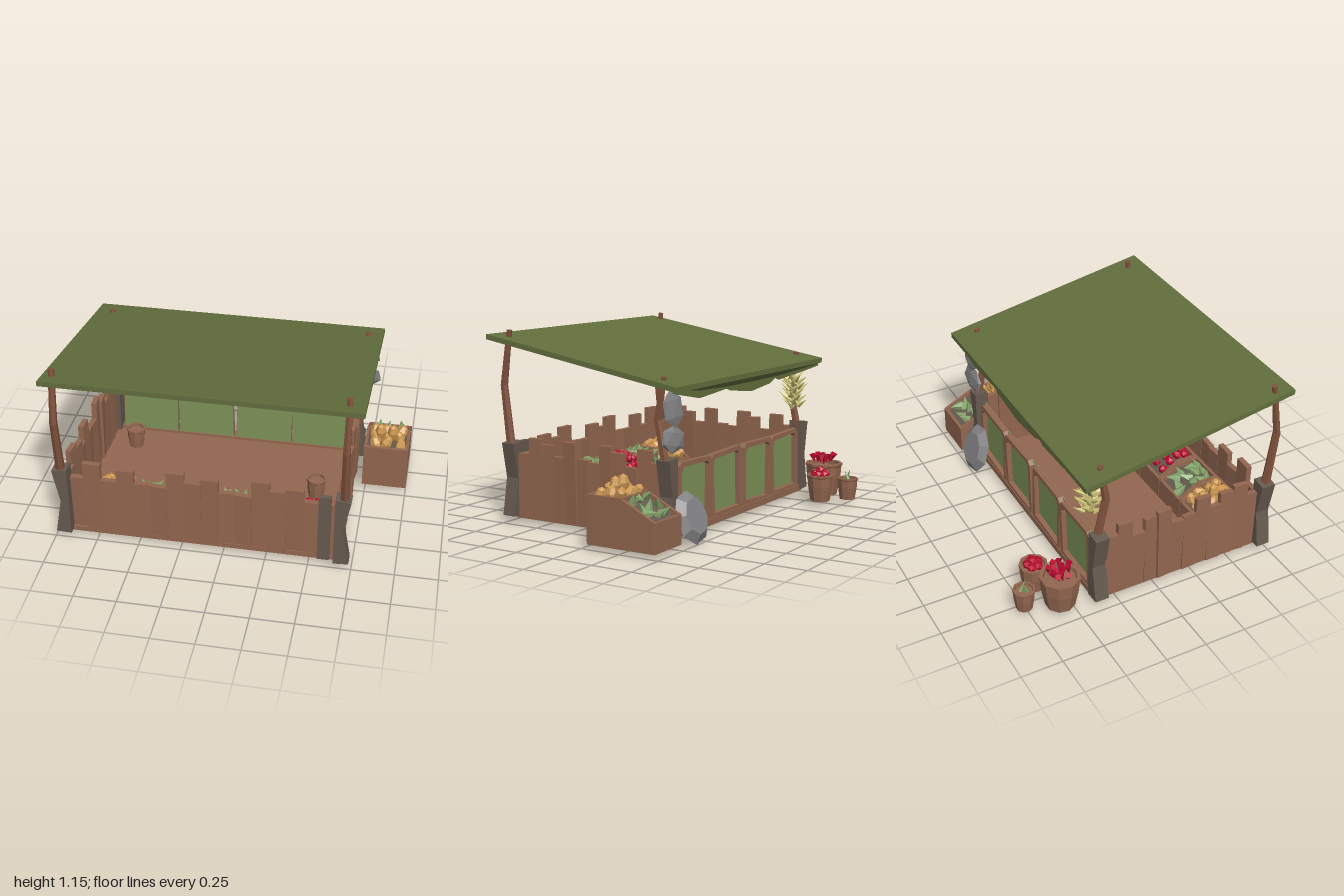
import * as THREE from 'three';

const mat = (name, color) => {
  const m = new THREE.MeshStandardMaterial({ color, flatShading: true, side: THREE.DoubleSide });
  m.name = name;
  return m;
};

export function createModel() {
  const wood = mat('wood', 0x92664f), pole = mat('poleWood', 0x7f513c), bark = mat('greyWood', 0x665a4f);
  const roofGreen = mat('roofCloth', 0x626e3d), cloth = mat('panelCloth', 0x7d9259), stone = mat('stone', 0x828284);
  const red = mat('red', 0xb80a2e), orange = mat('orange', 0xcc9750), leaf = mat('leaf', 0x83a269), straw = mat('straw', 0xd2ca7c);

  const root = new THREE.Group();
  root.name = 'marketStall';
  let seed = 7;
  const rnd = (a = 0, b = 1) => {
    seed = (seed * 16807) % 2147483647;
    return a + (b - a) * seed / 2147483647;
  };
  const add = (parent, name, geo, material, x = 0, y = 0, z = 0) => {
    const m = new THREE.Mesh(geo, material);
    m.name = name;
    m.position.set(x, y, z);
    parent.add(m);
    return m;
  };
  const group = (name, x = 0, y = 0, z = 0) => {
    const g = new THREE.Group();
    g.name = name;
    g.position.set(x, y, z);
    root.add(g);
    return g;
  };
  const box = (w, h, d) => new THREE.BoxGeometry(w, h, d);
  const vec = pts => pts.map(p => new THREE.Vector2(...p));
  const extrude = (shape, depth) => new THREE.ExtrudeGeometry(shape, { depth, bevelEnabled: false });

  // Floor
  add(root, 'floor', box(1.6, 0.03, 1.07), wood, -0.13, 0.04, 0.175);

  // Plank walls, each height giving one slightly twisted plank
  function wall(name, heights, length, x, z, turn) {
    const g = group(name, x, 0, z), w = length / heights.length;
    g.rotation.y = turn;
    heights.forEach((h, i) => {
      const p = add(g, 'plank', box(w + 0.006, h - 0.04, 0.032), wood, -length / 2 + w * (i + 0.5), (h + 0.04) / 2, rnd(-0.006, 0.006));
      p.rotation.set(rnd(-0.025, 0.025), rnd(-0.1, 0.1), rnd(-0.015, 0.015));
    });
  }
  wall('frontWall', [.41, .515, .41, .49, .41, .41, .515, .46, .49, .41, .41, .515, .46, .49, .41, .41], 1.57, -0.13, 0.69, 0);
  const side = [.42, .515, .485, .42, .515, .42, .41, .515, .485, .41, .515, .45];
  wall('leftWall', side, 1.0, 0.665, 0.18, Math.PI / 2);
  wall('rightWall', side, 1.0, -0.925, 0.18, Math.PI / 2);

  // Notched corner boards
  const post = new THREE.Shape(vec([[-0.045, 0.04], [0.045, 0.045], [0.005, 0.27], [0.045, 0.48], [-0.045, 0.49]]));
  for (const [x, z, s] of [[-0.945, 0.675, -1], [0.69, 0.675, 1], [-0.925, -0.4, -1], [0.685, -0.4, 1]]) {
    const p = add(root, 'cornerPost', extrude(post, 0.085), bark, x, 0, z);
    if (s < 0) {
      p.rotation.y = Math.PI;
      p.position.z += 0.085;
    }
  }
  add(root, 'frontBoard', box(0.07, 0.44, 0.03), bark, 0.585, 0.26, 0.72);

  // Bent poles made of tapered lengths
  function rod(parent, name, pts, radii, material) {
    for (let i = 0; i < pts.length - 1; i++) {
      const a = new THREE.Vector3(...pts[i]), b = new THREE.Vector3(...pts[i + 1]);
      const m = add(parent, name, new THREE.CylinderGeometry(radii[i + 1], radii[i], a.distanceTo(b) + 0.01, 6), material);
      m.position.lerpVectors(a, b, 0.5);
      m.quaternion.setFromUnitVectors(new THREE.Vector3(0, 1, 0), b.sub(a).normalize());
    }
  }
  for (const x of [-0.945, 0.695]) rod(root, 'frontPole', [[x, 0.44, 0.72], [x, 0.82, 0.765], [x, 1.14, 0.72]], [0.028, 0.023, 0.018], pole);
  for (const x of [-0.9, 0.695]) rod(root, 'backPole', [[x, 0.44, -0.36], [x, 0.7, -0.305], [x, 0.93, -0.345]], [0.026, 0.024, 0.018], pole);

  // Sloping roof sheet
  const roofY = z => 0.98 + 0.173 * z;
  const sheet = box(1.785, 0.03, 1.3);
  const sp = sheet.attributes.position;
  for (let i = 0; i < sp.count; i++) {
    const z = sp.getZ(i) + 0.17;
    sp.setXYZ(i, sp.getX(i) - 0.1075, roofY(z) - 0.015 + sp.getY(i), z);
  }
  add(root, 'roofSheet', sheet, roofGreen);

  // Sagging cloth below the roof
  const zs = [0.82, 0.4, -0.04, -0.45, -0.48], sags = [0, 0.085, 0.105, 0.045, 0];
  const lining = new THREE.PlaneGeometry(1.78, 1, 6, 4);
  const lp = lining.attributes.position;
  for (let i = 0; i < lp.count; i++) {
    const k = Math.floor(i / 7), u = lp.getX(i) / 0.89;
    lp.setXYZ(i, lp.getX(i) - 0.11, roofY(zs[k]) - 0.029 - sags[k] * (1 - Math.abs(u) ** 3), zs[k]);
  }
  lining.index.array.reverse();
  add(root, 'roofLining', lining, roofGreen);
  const valance = new THREE.Shape(vec([[-1, 0.88], [-1, 0.845], [-0.72, 0.825], [-0.44, 0.81], [-0.4, 0.825], [-0.33, 0.8], [-0.1, 0.778], [0.16, 0.81], [0.2, 0.825], [0.5, 0.805], [0.6, 0.825], [0.78, 0.86], [0.78, 0.88]]));
  add(root, 'backValance', new THREE.ShapeGeometry(valance), roofGreen, 0, 0, -0.455);

  // Framed cloth panels along the back
  for (let i = 0; i < 4; i++) {
    const g = group('backPanel', 0.43 - i * 0.372, 0.05, -0.385);
    g.rotation.z = [0.035, -0.03, 0.02, -0.03][i];
    const frame = new THREE.Shape(vec([[-0.18, 0], [0.18, 0], [0.175, 0.37], [0.155, 0.395], [-0.155, 0.395], [-0.178, 0.37]]));
    frame.holes.push(new THREE.Path(vec([[-0.15, 0.035], [-0.15, 0.35], [-0.125, 0.37], [0.135, 0.365], [0.155, 0.335], [0.145, 0.045]])));
    add(g, 'panelFrame', extrude(frame, 0.035), wood);
    add(g, 'panelCloth', box(0.355, 0.385, 0.008), cloth, 0, 0.2, 0.034);
  }
  add(root, 'backSill', box(1.55, 0.04, 0.05), wood, -0.13, 0.05, -0.365);

  // Produce shapes
  const fruit = new THREE.SphereGeometry(0.04, 6, 4).scale(0.85, 1.3, 0.85);
  const sprout = new THREE.ConeGeometry(0.034, 0.085, 5);
  const bud = new THREE.IcosahedronGeometry(0.03, 0);

  // Sloped crate, low side toward -z, with one or two produce bays
  function crate(name, x, z, w, d, h, low, bays) {
    const g = group(name, x, 0, z);
    const topAt = s => s < d / 2 ? h : h + (low - h) * (s - d / 2) / (d / 2);
    const slab = (s0, s1, y0, drop, t) => extrude(new THREE.Shape(vec([
      [s0, y0], [s1, y0], [s1, topAt(s1) - drop], [d / 2, h - drop], [s0, h - drop]])), t).rotateY(Math.PI / 2);
    for (const sx of [-w / 2, w / 2 - 0.018]) add(g, 'crateSide', slab(0.005, d - 0.005, 0.04, 0, 0.018), wood, sx);
    add(g, 'crateBed', slab(0.015, d - 0.015, 0.05, 0.03, w - 0.036), bark, -w / 2 + 0.018);
    add(g, 'crateBottom', box(w, 0.03, d), wood, 0, 0.045, -d / 2);
    add(g, 'crateBack', box(w, h - 0.03, 0.02), wood, 0, (h + 0.03) / 2, -0.01);
    add(g, 'crateFront', box(w, low - 0.03, 0.02), wood, 0, (low + 0.03) / 2, -d + 0.01);
    if (bays.length > 1) add(g, 'crateDivider', box(w, 0.05, 0.02), wood, 0, h - 0.025, -d / 2);
    const rows = d > 0.3 ? 3 : 4, bay = (d - 0.05) / bays.length;
    bays.forEach(([geo, material], b) => {
      for (let r = 0; r < rows; r++) for (let c = 0; c < 3; c++) {
        const s = 0.025 + bay * (b + (r + 0.5) / rows);
        const m = add(g, 'produce', geo, material, (c - 1) * w * 0.27 + rnd(-0.012, 0.012), topAt(s) + rnd(-0.015, 0.005), -s);
        m.rotation.set(rnd(-1.2, 0.2), rnd(0, 6), rnd(-0.8, 0.8));
      }
    });
    return g;
  }
  const outer = crate('outerCrate', 0.865, -0.04, 0.27, 0.44, 0.31, 0.2, [[fruit, orange], [sprout, leaf]]);
  for (const x of [-0.045, 0.03]) add(outer, 'topFruit', fruit, orange, x, 0.355, -0.12);
  const goods = [[bud, red], [fruit, orange], [sprout, leaf], [bud, red], [sprout, leaf], [fruit, orange]];
  goods.forEach((item, i) => crate('innerCrate', 0.52 - i * 0.24, 0.665, 0.235, 0.27, 0.28, 0.19, [item]));

  // Clay pots: tapered sides, thin rim, soil
  function pot(name, x, z, r, h) {
    const g = group(name, x, 0.035, z);
    const pts = [[0, 0], [r * 0.72, 0], [r * 0.9, h * 0.55], [r * 0.95, h * 0.9], [r, h * 0.93], [r, h], [r * 0.82, h], [r * 0.8, h * 0.87], [0, h * 0.87]];
    add(g, 'potBody', new THREE.LatheGeometry(vec(pts), 9), wood);
    return g;
  }
  const big = pot('largePot', -0.865, -0.57, 0.12, 0.205);
  for (let i = 0; i < 14; i++) {
    const a = i * 2.4, r = 0.02 * Math.sqrt(i);
    const f = add(big, 'redFlower', new THREE.ConeGeometry(0.022, 0.055, 4), red, r * Math.cos(a), 0.22 + rnd(0, 0.02), r * Math.sin(a));
    f.rotation.set(Math.PI + rnd(-0.4, 0.4), 0, rnd(-0.4, 0.4));
  }
  const mid = pot('mediumPot', -0.67, -0.64, 0.085, 0.165);
  for (let i = 0; i < 6; i++) add(mid, 'redFruit', bud, red, i ? 0.033 * Math.cos(i * 1.26) : 0, i ? 0.165 : 0.19, i ? 0.033 * Math.sin(i * 1.26) : 0);
  const small = pot('smallPot', -0.805, -0.765, 0.066, 0.135);
  for (const t of [-0.35, 0.4]) add(small, 'sprout', new THREE.ConeGeometry(0.014, 0.08, 4), leaf, t * 0.03, 0.15, 0).rotation.x = t;
  pot('innerJar', -0.74, -0.17, 0.06, 0.15);
  pot('innerJar', 0.47, 0.16, 0.06, 0.15);

  // Leaning stone: an eight-sided slab with a bevelled outer face
  const leaning = group('leaningStone', 0.565, 0.15, -0.46);
  leaning.rotation.x = 0.36;
  add(leaning, 'stoneSlab', new THREE.CylinderGeometry(0.155, 0.105, 0.04, 8).rotateX(Math.PI / 2).rotateZ(0.2), stone);

  // Hanging stones: flattened angular lumps
  for (const [y, sx, sy, roll] of [[0.765, 0.105, 0.11, 0.5], [0.595, 0.125, 0.08, -0.25]]) {
    const lump = add(root, 'hangingStone', new THREE.IcosahedronGeometry(1, 0).rotateZ(roll).scale(sx, sy, 0.02), stone, 0.68, y, -0.395);
    lump.rotation.x = 0.15;
  }

  // Hanging bunch of dried pods
  const bunch = group('driedBunch', -0.825, 0.6, -0.365);
  rod(bunch, 'bunchString', [[0, 0, 0], [0, 0.28, 0]], [0.012, 0.012], straw);
  for (let i = 0; i < 36; i++) {
    const a = i * 2.4, y = 0.01 + 0.2 * i / 36, r = 0.045 + 0.022 * (i % 3) / 2;
    const pod = add(bunch, 'pod', new THREE.ConeGeometry(0.017, 0.075, 4), straw, r * Math.cos(a), y, r * Math.sin(a));
    pod.quaternion.setFromUnitVectors(new THREE.Vector3(0, 1, 0), new THREE.Vector3(Math.cos(a), 0.7, Math.sin(a)).normalize());
  }
  return root;
}
